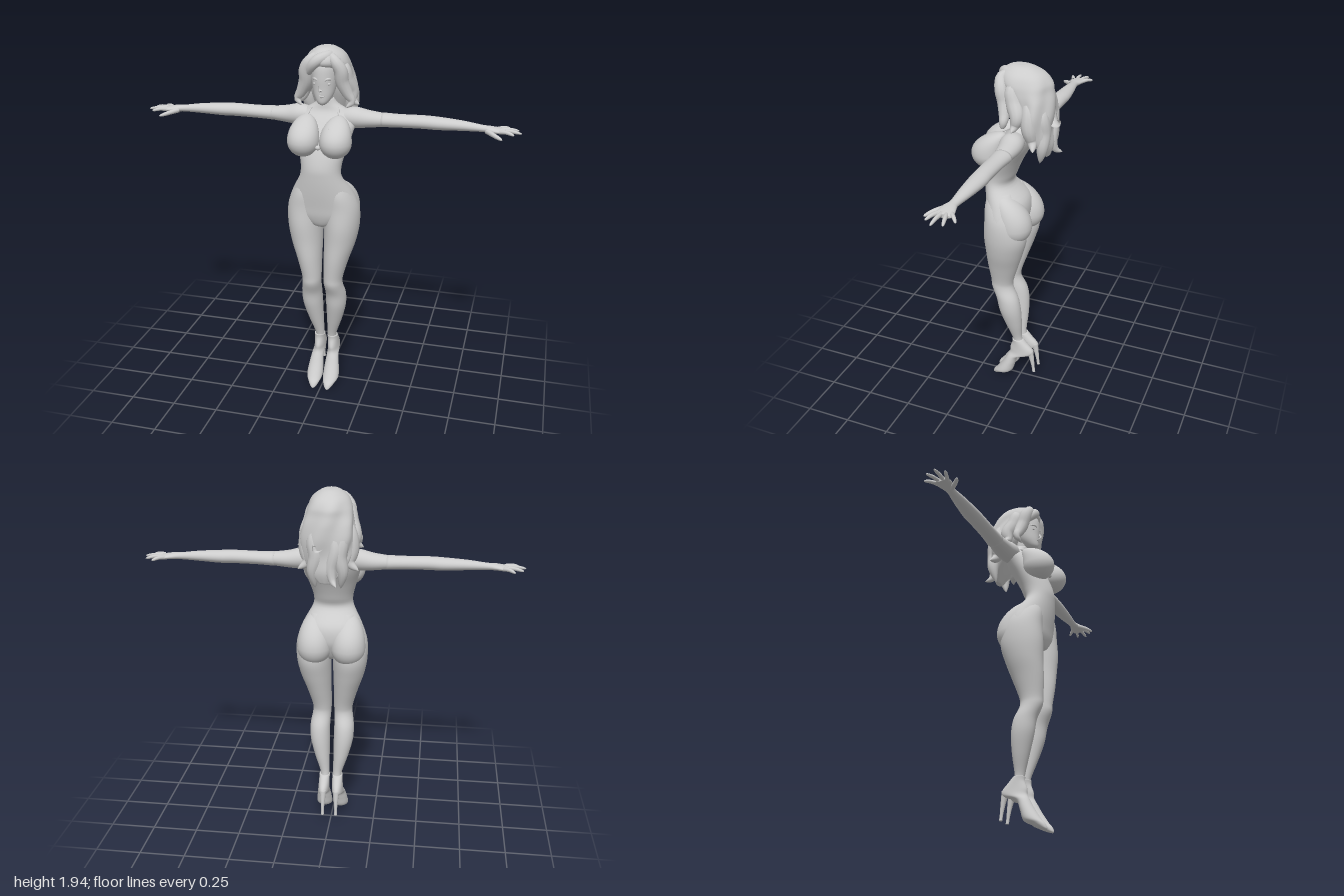
import * as THREE from 'three';
import { mergeVertices } from 'three/addons/utils/BufferGeometryUtils.js';

const grey = new THREE.MeshStandardMaterial({ color: 0xcccccc });
grey.name = 'plain grey';

const spline = (a, b, c, d, t) =>
  0.5 * (2 * b + (c - a) * t + (2 * a - 5 * b + 4 * c - d) * t * t + (3 * b - a - 3 * c + d) * t * t * t);

// Signed volume decides whether a closed skin must be turned over
function outward(g) {
  const p = g.attributes.position, ix = g.index.array;
  const A = new THREE.Vector3(), B = new THREE.Vector3(), C = new THREE.Vector3();
  let vol = 0;
  for (let i = 0; i < ix.length; i += 3) {
    A.fromBufferAttribute(p, ix[i]); B.fromBufferAttribute(p, ix[i + 1]); C.fromBufferAttribute(p, ix[i + 2]);
    vol += A.dot(B.cross(C));
  }
  if (vol < 0) for (let i = 0; i < ix.length; i += 3) [ix[i], ix[i + 1]] = [ix[i + 1], ix[i]];
  g.computeVertexNormals();
  return g;
}

// Smooth closed skin through oval rows [t, a, b, ra, rb].
// axis 'y': a = x, b = z.  axis 'x': a = z, b = y.
function loft(axis, rows, ripple = () => 1, sides = 36, steps = 5) {
  const cap = row => [...row.slice(0, 3), 0, 0];
  const all = [cap(rows[0]), ...rows, cap(rows[rows.length - 1])];
  const pos = [], index = [];
  const rings = (all.length - 1) * steps + 1;
  for (let r = 0; r < rings; r++) {
    const k = Math.min(Math.floor(r / steps), all.length - 2), f = r / steps - k;
    const end = k === 0 || k === all.length - 2;
    const before = all[k <= 1 ? k : k - 1], after = all[k >= all.length - 3 ? k + 1 : k + 2];
    const v = all[k].map((p, i) => end ? p + (all[k + 1][i] - p) * f
      : spline(before[i], p, all[k + 1][i], after[i], f));
    for (let j = 0; j < sides; j++) {
      const q = j / sides * Math.PI * 2, m = ripple(q, v[0]);
      const a = v[1] + Math.max(v[3], 0.0005) * Math.cos(q) * m;
      const b = v[2] + Math.max(v[4], 0.0005) * Math.sin(q) * m;
      if (axis === 'y') pos.push(a, v[0], b); else pos.push(v[0], b, a);
      if (r < rings - 1) {
        const j2 = (j + 1) % sides, p = r * sides;
        index.push(p + j, p + sides + j, p + j2, p + j2, p + sides + j, p + sides + j2);
      }
    }
  }
  const g = new THREE.BufferGeometry();
  g.setAttribute('position', new THREE.Float32BufferAttribute(pos, 3));
  g.setIndex(index);
  return outward(g);
}

// Tapered tube through points; blunt = rounded finger, otherwise a pointed lock
function strand(points, radius, blunt = false) {
  const curve = new THREE.CatmullRomCurve3(points.map(p => new THREE.Vector3(...p)));
  const T = 24, R = 12, c = new THREE.Vector3(), v = new THREE.Vector3();
  const g = new THREE.TubeGeometry(curve, T, 1, R);
  const p = g.attributes.position;
  for (let i = 0; i <= T; i++) {
    const u = i / T;
    curve.getPointAt(u, c);
    const w = blunt ? Math.sqrt(1 - u ** 8) * (1 - 0.35 * u)
      : Math.pow(Math.max(0, Math.sin(Math.PI * (0.12 + 0.88 * u))), 0.7);
    for (let j = 0; j <= R; j++) {
      const k = i * (R + 1) + j;
      v.fromBufferAttribute(p, k).sub(c).multiplyScalar(radius * Math.max(w, 0.02)).add(c);
      p.setXYZ(k, v.x, v.y, v.z);
    }
  }
  g.deleteAttribute('normal');
  g.deleteAttribute('uv');
  return outward(mergeVertices(g, 1e-6));
}

const ball = (c, r) => new THREE.SphereGeometry(1, 32, 24).scale(...r).translate(...c);

// Rounded mass whose upper half stretches and leans in z to melt into the trunk
function drop(c, r, stretch, lean) {
  const g = new THREE.SphereGeometry(1, 40, 32), p = g.attributes.position;
  for (let i = 0; i < p.count; i++) {
    const up = Math.max(p.getY(i), 0);
    p.setXYZ(i, c[0] + p.getX(i) * r[0], c[1] + p.getY(i) * r[1] * (up ? stretch : 1),
      c[2] + p.getZ(i) * r[2] + lean * up * up);
  }
  return outward(g);
}

export function createModel() {
  const root = new THREE.Group();
  root.name = 'figure';
  const add = (name, g) => {
    const m = new THREE.Mesh(g, grey);
    m.name = name;
    root.add(m);
  };
  const pair = (name, g) => {
    add(name + 'Left', g);
    add(name + 'Right', outward(g.clone().scale(-1, 1, 1)));
  };

  // Trunk
  add('torso', loft('y', [
    [0.99, 0, 0.07, 0.02, 0.04], [1.01, 0, 0.07, 0.09, 0.07], [1.06, 0, 0.065, 0.183, 0.095],
    [1.12, 0, 0.06, 0.188, 0.11], [1.2, 0, 0.073, 0.158, 0.11], [1.28, 0, 0.115, 0.113, 0.076],
    [1.34, 0, 0.108, 0.108, 0.083], [1.42, 0, 0.08, 0.128, 0.088], [1.5, 0, 0.04, 0.15, 0.09],
    [1.56, 0, 0.01, 0.16, 0.077], [1.605, 0, -0.008, 0.122, 0.058], [1.64, 0, -0.003, 0.066, 0.045],
    [1.67, 0, 0.003, 0.04, 0.038]]));
  add('neck', loft('y', [
    [1.6, 0, -0.01, 0.055, 0.045], [1.65, 0, 0, 0.037, 0.037], [1.73, 0, 0.02, 0.035, 0.036]]));
  pair('bust', drop([0.085, 1.475, 0.145], [0.083, 0.082, 0.09], 1.5, -0.07));
  pair('seat', drop([0.092, 1.075, 0.005], [0.094, 0.1, 0.1], 1.75, 0.07));
  pair('strap', strand([[0.06, 1.55, 0.18], [0.078, 1.58, 0.105], [0.075, 1.615, 0.04], [0.05, 1.648, -0.015]], 0.005, true));
  add('clasp', ball([0, 1.45, 0.175], [0.014, 0.012, 0.012]));

  // Legs, shoes and heels
  pair('leg', loft('y', [
    [0.25, 0.036, -0.002, 0.026, 0.032], [0.3, 0.036, 0.008, 0.026, 0.028], [0.4, 0.053, 0.022, 0.042, 0.047],
    [0.5, 0.066, 0.038, 0.055, 0.062], [0.58, 0.068, 0.053, 0.056, 0.063], [0.65, 0.061, 0.084, 0.052, 0.062],
    [0.7, 0.061, 0.086, 0.054, 0.065], [0.8, 0.075, 0.075, 0.068, 0.086], [0.9, 0.091, 0.06, 0.085, 0.104],
    [1.0, 0.1, 0.05, 0.095, 0.119], [1.1, 0.099, 0.054, 0.094, 0.11], [1.18, 0.09, 0.068, 0.074, 0.096],
    [1.25, 0.075, 0.09, 0.045, 0.06]]));
  pair('shoe', loft('y', [
    [0.001, 0.042, 0.15, 0.006, 0.006], [0.01, 0.042, 0.138, 0.018, 0.02], [0.03, 0.044, 0.112, 0.033, 0.038],
    [0.055, 0.047, 0.082, 0.045, 0.047], [0.11, 0.046, 0.055, 0.041, 0.038], [0.16, 0.044, 0.03, 0.034, 0.036],
    [0.19, 0.041, -0.015, 0.032, 0.066], [0.22, 0.039, -0.02, 0.031, 0.07], [0.26, 0.038, -0.008, 0.03, 0.045],
    [0.285, 0.037, 0.004, 0.03, 0.033]]));
  pair('heel', loft('y', [
    [0.07, 0.038, -0.098, 0.009, 0.009], [0.1, 0.038, -0.094, 0.008, 0.009],
    [0.16, 0.038, -0.084, 0.013, 0.014], [0.22, 0.038, -0.07, 0.02, 0.022]], undefined, 16));

  // Arms, long gloves and fingers
  pair('upperArm', loft('x', [
    [0.09, -0.01, 1.57, 0.05, 0.045], [0.15, -0.012, 1.572, 0.062, 0.055], [0.22, -0.018, 1.567, 0.055, 0.045],
    [0.31, -0.02, 1.566, 0.043, 0.034]]));
  pair('glove', loft('x', [
    [0.292, -0.022, 1.566, 0.05, 0.037], [0.38, -0.02, 1.567, 0.045, 0.034], [0.5, -0.02, 1.569, 0.044, 0.034],
    [0.58, -0.02, 1.567, 0.044, 0.033], [0.7, -0.016, 1.565, 0.034, 0.026], [0.8, -0.01, 1.56, 0.023, 0.018],
    [0.84, -0.006, 1.558, 0.034, 0.017], [0.88, -0.008, 1.555, 0.042, 0.014], [0.91, -0.01, 1.553, 0.038, 0.01]]));
  [['index', [0.89, 0.02], [0.965, 0.05]], ['middle', [0.89, 0.003], [1.0, 0.008]],
    ['ring', [0.89, -0.018], [0.985, -0.045]], ['little', [0.88, -0.036], [0.94, -0.084]]]
    .forEach(([name, [x0, z0], [x1, z1]]) => pair(name + 'Finger', strand(
      [[x0, 1.555, z0], [(x0 + x1) / 2, 1.557, (z0 + z1) / 2], [x1, 1.549, z1]], 0.0115, true)));
  pair('thumb', strand([[0.83, 1.552, 0.012], [0.87, 1.543, 0.055], [0.91, 1.532, 0.086]], 0.014, true));

  // Head and face
  add('head', loft('y', [
    [1.652, 0, 0.078, 0.014, 0.018], [1.668, 0, 0.07, 0.032, 0.036], [1.7, 0, 0.053, 0.05, 0.056],
    [1.74, 0, 0.037, 0.061, 0.073], [1.79, 0, 0.025, 0.068, 0.087], [1.85, 0, 0.015, 0.068, 0.09],
    [1.9, 0, 0.005, 0.05, 0.065]]));
  add('nose', strand([[0, 1.785, 0.102], [0, 1.75, 0.112], [0, 1.727, 0.122], [0, 1.718, 0.105]], 0.011));
  add('upperLip', ball([0, 1.7, 0.105], [0.017, 0.005, 0.007]));
  add('lowerLip', ball([0, 1.691, 0.102], [0.014, 0.006, 0.007]));
  pair('eye', ball([0.03, 1.762, 0.094], [0.016, 0.007, 0.007]));
  pair('brow', strand([[0.012, 1.775, 0.105], [0.032, 1.788, 0.102], [0.055, 1.783, 0.083]], 0.006));

  // Hair: one wavy mass over the crown and down the back, then loose waves
  add('hairMass', loft('y', [
    [1.48, 0.01, -0.15, 0.03, 0.014], [1.54, 0.01, -0.14, 0.085, 0.04], [1.62, 0.005, -0.118, 0.12, 0.06],
    [1.7, 0, -0.1, 0.138, 0.085], [1.77, 0, -0.083, 0.13, 0.097], [1.82, 0, -0.052, 0.122, 0.118],
    [1.86, 0, -0.026, 0.113, 0.136], [1.9, 0, -0.014, 0.091, 0.115], [1.93, 0, -0.005, 0.05, 0.066],
    [1.938, 0, 0, 0.02, 0.03]],
    (q, y) => 1 + 0.3 * Math.min(1.94 - y, 0.16) * Math.sin(6 * q + y * 20), 60));
  pair('frontWave', strand([[0.03, 1.9, 0.05], [0.06, 1.88, 0.078], [0.09, 1.83, 0.068],
    [0.095, 1.77, 0.052], [0.12, 1.71, 0.04], [0.145, 1.665, 0.038], [0.115, 1.635, 0.055]], 0.036));
  pair('sideWave', strand([[0.06, 1.86, -0.01], [0.09, 1.83, 0.01], [0.1, 1.77, -0.005],
    [0.125, 1.71, -0.03], [0.138, 1.66, -0.02], [0.172, 1.64, -0.015]], 0.044));
  pair('shoulderCurl', strand([[0.08, 1.8, -0.07], [0.105, 1.73, -0.085], [0.115, 1.65, -0.09],
    [0.11, 1.58, -0.105], [0.155, 1.545, -0.125]], 0.042));
  pair('backCurl', strand([[0.05, 1.78, -0.12], [0.07, 1.7, -0.14], [0.06, 1.62, -0.145],
    [0.075, 1.54, -0.145], [0.065, 1.45, -0.13]], 0.04));
  add('fringe', strand([[0.045, 1.905, 0.02], [0.02, 1.898, 0.07], [-0.03, 1.872, 0.096],
    [-0.065, 1.83, 0.085], [-0.088, 1.78, 0.062]], 0.03));
  add('flickedCurl', strand([[0.02, 1.81, -0.13], [0.03, 1.75, -0.155], [0.04, 1.69, -0.18],
    [0.05, 1.672, -0.21], [0.055, 1.695, -0.232]], 0.036));
  add('longCurl', strand([[-0.02, 1.76, -0.14], [-0.04, 1.66, -0.155], [-0.02, 1.56, -0.16],
    [-0.03, 1.5, -0.178], [-0.05, 1.48, -0.21]], 0.036));
  return root;
}
